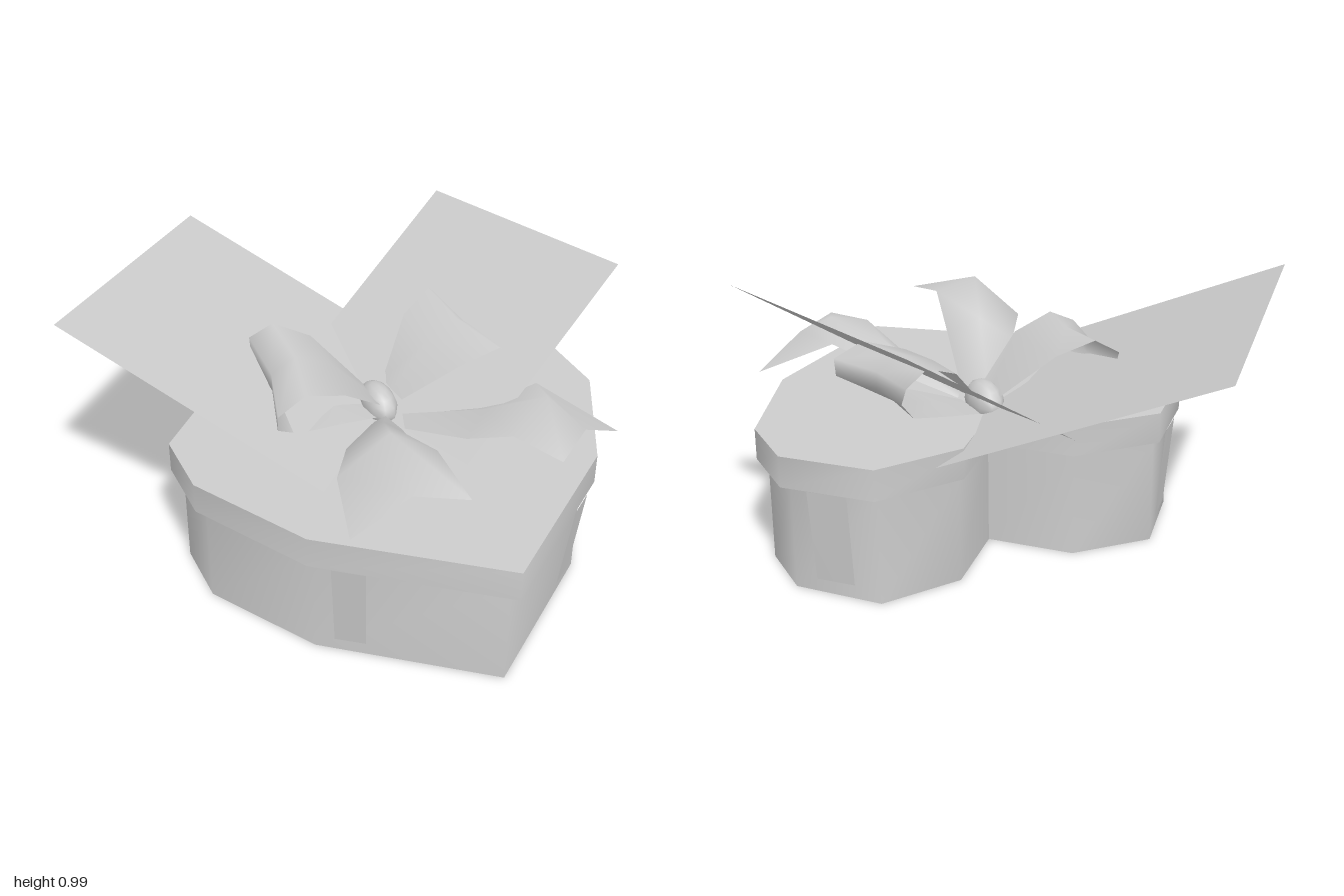
import * as THREE from 'three';

const CX = 0.135; // mirror line of the heart

// Grid surface through rows of [x, y, z] points, smooth normals
function loft(rows) {
  const cols = rows[0].length, index = [];
  for (let r = 0; r < rows.length - 1; r++) {
    for (let c = 0; c < cols - 1; c++) {
      const a = r * cols + c, b = a + 1, d = a + cols, e = d + 1;
      index.push(a, b, e, a, e, d);
    }
  }
  const geo = new THREE.BufferGeometry();
  geo.setAttribute('position', new THREE.Float32BufferAttribute(rows.flat(2), 3));
  geo.setIndex(index);
  geo.computeVertexNormals();
  return geo;
}

// Full heart outline from half of it, starting and ending at the notch
function heartOutline(half) {
  const right = half.map(([x, z]) => [CX + x, z]);
  const left = half.slice(0, -1).reverse().map(([x, z]) => [CX - x, z]);
  return [...right, ...left];
}

export function createModel() {
  const group = new THREE.Group();
  const grey = new THREE.MeshStandardMaterial({ color: 0xcccccc, side: THREE.DoubleSide });
  grey.name = 'light grey';

  const add = (name, geo, parent = group) => {
    const mesh = new THREE.Mesh(geo, grey);
    mesh.name = name;
    parent.add(mesh);
    return mesh;
  };

  // Heart-shaped body and lid: smooth wall with flat caps
  function heartPrism(name, half, y0, y1) {
    const part = new THREE.Group();
    part.name = name;
    group.add(part);
    const outline = heartOutline(half);
    add(name + 'Wall', loft([y1, y0].map((y) => outline.map(([x, z]) => [x, y, z]))), part);
    const shape = new THREE.Shape(outline.slice(0, -1).map(([x, z]) => new THREE.Vector2(x, -z)));
    for (const [label, y, turn] of [['Top', y1, false], ['Bottom', y0, true]]) {
      const cap = new THREE.ShapeGeometry(shape).rotateX(-Math.PI / 2).translate(0, y, 0);
      if (turn) {
        cap.setIndex([...cap.index.array].reverse());
        cap.computeVertexNormals();
      }
      add(name + label, cap, part);
    }
  }
  heartPrism('boxBody', [[0, -0.05], [0.215, -0.28], [0.515, -0.31], [0.725, -0.07],
    [0.725, 0.17], [0.5, 0.55], [0, 0.945]], 0, 0.38);
  heartPrism('lid', [[0, -0.07], [0.205, -0.295], [0.53, -0.325], [0.765, -0.085],
    [0.765, 0.17], [0.535, 0.58], [0, 1]], 0.38, 0.49);

  // Ribbon strips leaning from the lid rim to the wall
  const strips = {
    frontStrip: [[0.385, 0.70], [0.475, 0.63], [0.365, 0.665], [0.45, 0.60]],
    backStrip: [[0.70, -0.155], [0.60, -0.255], [0.675, -0.14], [0.58, -0.24]],
  };
  for (const [name, p] of Object.entries(strips)) {
    for (const s of [-1, 1]) {
      const at = (i, y) => [CX + s * p[i][0], y, p[i][1]];
      add(name, loft([[at(0, 0.38), at(1, 0.38)], [at(2, 0.05), at(3, 0.05)]]));
    }
  }

  // Two tilted sheets of paper
  add('leftSheet', loft([
    [[-0.93, 0.94, -0.265], [-0.275, 0.53, 0.43]],
    [[-0.21, 0.855, -1], [0.445, 0.445, -0.305]],
  ]));
  add('rightSheet', loft([
    [[-0.035, 0.475, -0.375], [0.235, 0.505, 0.46]],
    [[0.66, 0.955, -0.62], [0.93, 0.985, 0.215]],
  ]));

  // Bow loops: [reach, height, front z, back z] along the folded band
  const band = [
    [0.04, 0.50, 0.08, -0.07], [0.2, 0.55, 0.13, -0.16], [0.36, 0.58, 0.16, -0.19],
    [0.435, 0.64, 0.18, -0.24], [0.435, 0.7, 0.19, -0.27],
    [0.34, 0.75, 0.18, -0.25], [0.2, 0.7, 0.165, -0.2], [0.04, 0.55, 0.08, -0.07],
  ];
  for (const s of [-1, 1]) {
    const rows = band.map(([r, y, front, back]) => [front, (front + back) / 2, back].map((z, i) => {
      const reach = r + (r / 0.44) * (0.17 * z - (i === 1 ? 0.03 : 0));
      const tilt = y > 0.6 ? -0.07 * z : 0;
      return [CX + s * reach, y + tilt, z];
    }));
    add(s < 0 ? 'leftLoop' : 'rightLoop', loft(rows));
  }

  // Bow tails: outer edge, ridge and inner edge, from knot to tip
  add('leftTail', loft([
    [[0.06, 0.50, 0.1], [-0.15, 0.6, 0.33], [-0.26, 0.63, 0.5], [-0.315, 0.565, 0.72]],
    [[0.1, 0.52, 0.11], [-0.03, 0.69, 0.36], [-0.1, 0.79, 0.55], [-0.12, 0.69, 0.75]],
    [[0.13, 0.5, 0.18], [0.06, 0.61, 0.45], [0.03, 0.73, 0.62], [0.035, 0.69, 0.84]],
  ]));
  add('rightTail', loft([
    [[0.18, 0.50, 0.1], [0.37, 0.58, 0.27], [0.55, 0.68, 0.35], [0.765, 0.545, 0.55]],
    [[0.16, 0.52, 0.12], [0.34, 0.65, 0.38], [0.5, 0.73, 0.5], [0.58, 0.65, 0.62]],
    [[0.14, 0.5, 0.18], [0.25, 0.58, 0.42], [0.33, 0.67, 0.58], [0.41, 0.66, 0.755]],
  ]));

  // Knot
  const knot = add('knot', new THREE.SphereGeometry(1, 10, 8));
  knot.scale.set(0.06, 0.075, 0.105);
  knot.position.set(0.118, 0.51, 0.012);

  return group;
}
